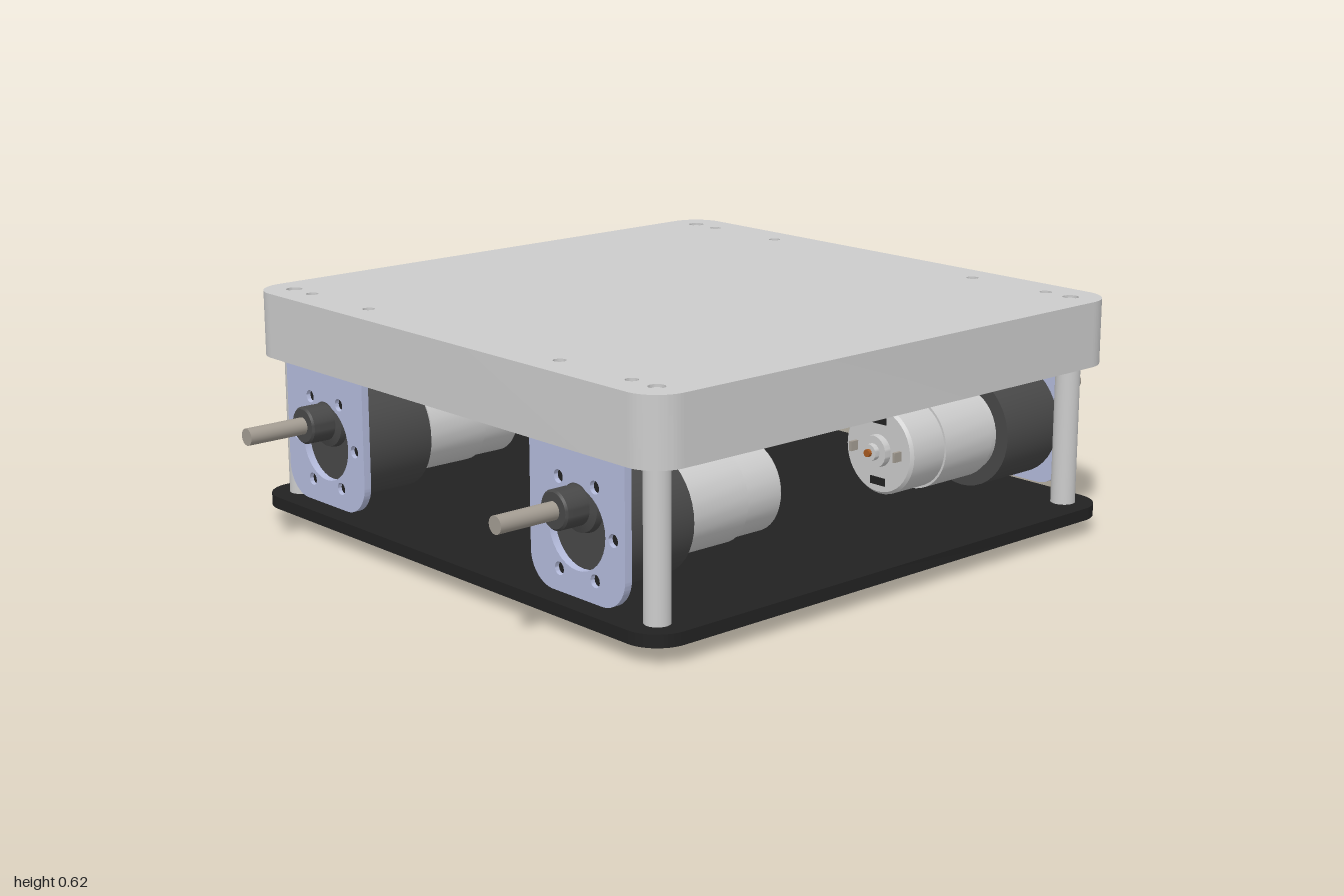
import * as THREE from 'three';
import { toCreasedNormals } from 'three/addons/utils/BufferGeometryUtils.js';

const mat = (color) => new THREE.MeshStandardMaterial({ color });
const M = {
  grey: mat(0xcccccc), light: mat(0xdddddd), black: mat(0x222222), dark: mat(0x484848),
  blue: mat(0xb4bbdc), steel: mat(0xa39c92), orange: mat(0xa85a20),
};

function add(parent, name, geo, material, x = 0, y = 0, z = 0) {
  const m = new THREE.Mesh(geo, material);
  m.name = name;
  m.position.set(x, y, z);
  parent.add(m);
  return m;
}

// Rectangle outline with separate lower and upper corner radii
function roundRect(x0, y0, x1, y1, rLow, rHigh = rLow) {
  const s = new THREE.Shape();
  s.moveTo(x0 + rLow, y0);
  s.lineTo(x1 - rLow, y0);
  if (rLow) s.absarc(x1 - rLow, y0 + rLow, rLow, -Math.PI / 2, 0);
  s.lineTo(x1, y1 - rHigh);
  if (rHigh) s.absarc(x1 - rHigh, y1 - rHigh, rHigh, 0, Math.PI / 2);
  s.lineTo(x0 + rHigh, y1);
  if (rHigh) s.absarc(x0 + rHigh, y1 - rHigh, rHigh, Math.PI / 2, Math.PI);
  s.lineTo(x0, y0 + rLow);
  if (rLow) s.absarc(x0 + rLow, y0 + rLow, rLow, Math.PI, Math.PI * 1.5);
  return s;
}

function hole(shape, x, y, r) {
  const p = new THREE.Path();
  p.absarc(x, y, r, 0, Math.PI * 2, true);
  shape.holes.push(p);
}

const extrude = (shape, depth) => toCreasedNormals(
  new THREE.ExtrudeGeometry(shape, { depth, bevelEnabled: false, curveSegments: 16 }), 0.5);
// Lying slab: thickness runs up
const slab = (shape, depth) => extrude(shape, depth).rotateX(-Math.PI / 2);
// Turned part along x from [position, radius] pairs
const turnedX = (pts, seg = 40) => toCreasedNormals(
  new THREE.LatheGeometry(pts.map(([a, r]) => new THREE.Vector2(r, a)), seg), 0.5).rotateZ(-Math.PI / 2);
const cyl = (r, h, seg = 24, r2 = r) => new THREE.CylinderGeometry(r2, r, h, seg);

// Gear motor with bracket, shaft pointing to +x
function motorUnit() {
  const g = new THREE.Group();
  const cy = 0.26, sy = 0.316;

  // L bracket: face plate and top flange
  const face = roundRect(-0.167, 0.095, 0.167, 0.45, 0.08, 0);
  hole(face, 0, cy, 0.1);
  for (let i = 0; i < 6; i++) {
    const a = i * Math.PI / 3;
    hole(face, Math.cos(a) * 0.127, cy + Math.sin(a) * 0.127, 0.016);
  }
  add(g, 'bracketFace', extrude(face, 0.02).rotateY(Math.PI / 2), M.blue, 0.747);
  const flange = roundRect(0.6, -0.167, 0.75, 0.167, 0.02, 0.02);
  for (const z of [-0.125, -0.06, 0, 0.06, 0.125]) hole(flange, 0.71, z, 0.014);
  for (const z of [-0.125, 0.125]) hole(flange, 0.645, z, 0.014);
  add(g, 'bracketFlange', slab(flange, 0.018), M.blue, 0, 0.432);

  // Gearbox and the mounting screw ends on its face
  add(g, 'gearbox', turnedX([[0.545, 0], [0.545, 0.152], [0.745, 0.152], [0.745, 0]]), M.dark, 0, cy);
  for (let i = 0; i < 6; i++) {
    const a = i * Math.PI / 3;
    add(g, 'bracketScrew', cyl(0.015, 0.012, 12).rotateZ(Math.PI / 2), M.black,
      0.75, cy + Math.sin(a) * 0.127, Math.cos(a) * 0.127);
  }

  // Offset output boss and shaft
  add(g, 'outputBoss', turnedX([[0.74, 0], [0.74, 0.07], [0.762, 0.066], [0.768, 0.048],
    [0.83, 0.048], [0.835, 0.043], [0.835, 0]]), M.dark, 0, sy);
  add(g, 'shaft', cyl(0.022, 0.2).rotateZ(Math.PI / 2), M.steel, 0.9, sy);

  // Motor can with its rolled steps
  add(g, 'motorCan', turnedX([[0.225, 0], [0.225, 0.108], [0.233, 0.115], [0.345, 0.115],
    [0.345, 0.121], [0.52, 0.121], [0.52, 0.113], [0.55, 0.113]]), M.grey, 0, cy);
  add(g, 'rearBearing', turnedX([[0.19, 0], [0.19, 0.022], [0.205, 0.022], [0.205, 0.042],
    [0.23, 0.042]]), M.light, 0, cy);
  add(g, 'rearShaftEnd', cyl(0.01, 0.012, 16).rotateZ(Math.PI / 2), M.orange, 0.187, cy);
  for (const s of [-1, 1]) {
    add(g, 'terminal', new THREE.BoxGeometry(0.03, 0.025, 0.008), M.steel, 0.215, cy, s * 0.075);
    add(g, 'rearVent', new THREE.BoxGeometry(0.006, 0.02, 0.05), M.black, 0.225, cy + s * 0.08);
  }
  return g;
}

// Steering servo with output horn below the base plate
function servo() {
  const g = new THREE.Group();
  add(g, 'servoCase', slab(roundRect(-0.08, -0.08, 0.08, 0.25, 0.012), 0.295), M.black, 0, 0.095);
  add(g, 'servoGearCover', slab(roundRect(-0.068, -0.08, 0.068, 0.215, 0.03), 0.025), M.black, 0, 0.075);

  // Mounting ears with holes and ribs
  for (const [z0, z1, s] of [[0.078, 0.14, 1], [-0.31, -0.248, -1]]) {
    const ear = roundRect(-0.075, -z1, 0.075, -z0, 0.008);
    for (const x of [-0.04, 0.04]) hole(ear, x, -(z0 + z1) / 2, 0.016);
    add(g, 'servoEar', slab(ear, 0.022), M.black, 0, 0.147);
    add(g, 'servoEarRib', new THREE.BoxGeometry(0.012, 0.012, 0.045), M.black, 0, 0.172, (z0 + z1) / 2 - s * 0.008);
  }
  for (const x of [-0.06, 0.06]) for (const z of [0.06, -0.23])
    add(g, 'servoScrew', cyl(0.012, 0.008, 16), M.steel, x, 0.39, z);

  // Cable and its strain relief
  add(g, 'strainRelief', cyl(0.019, 0.055, 16, 0.012).rotateX(Math.PI / 2), M.black, 0, 0.32, 0.105);
  for (const [x, m] of [[-0.012, M.black], [0, M.orange], [0.012, M.orange]])
    add(g, 'cable', cyl(0.006, 0.16, 10).rotateX(Math.PI / 2), m, x, 0.32, 0.165);

  // Output spline, hub and double-armed horn
  add(g, 'outputSpline', cyl(0.032, 0.07), M.black, 0, 0.055);
  add(g, 'hornHub', cyl(0.035, 0.016, 24, 0.052), M.black, 0, 0.033);
  const arm = new THREE.Shape();
  arm.absarc(0.137, 0, 0.018, -Math.PI / 2, Math.PI / 2);
  arm.lineTo(0.025, 0.045);
  arm.lineTo(-0.025, 0.045);
  arm.absarc(-0.137, 0, 0.018, Math.PI / 2, Math.PI * 1.5);
  arm.lineTo(-0.025, -0.045);
  arm.lineTo(0.025, -0.045);
  for (const s of [-1, 1]) for (const x of [0.075, 0.105, 0.135]) hole(arm, s * x, 0, 0.006);
  add(g, 'hornArm', slab(arm, 0.018), M.black, 0, 0.008);
  add(g, 'hornScrew', cyl(0.016, 0.01, 16), M.orange, 0, 0.005);
  return g;
}

export function createModel() {
  const root = new THREE.Group();
  const E = 0.79, P = 0.708;

  // Thick top plate with post and bracket holes
  const top = roundRect(-E, -E, E, E, 0.09);
  for (const x of [-P, P]) {
    for (const z of [-P, P]) hole(top, x, z, 0.021);
    for (const z of [-0.625, -0.375, 0.375, 0.625]) hole(top, x, z, 0.016);
  }
  add(root, 'topPlate', slab(top, 0.17), M.grey, 0, 0.45);

  // Thin base plate
  const base = roundRect(-E, -E, E, E, 0.09);
  hole(base, 0, 0, 0.06);
  add(root, 'basePlate', slab(base, 0.032), M.black, 0, 0.043);

  // Corner posts with threaded ends and nuts
  for (const x of [-P, P]) for (const z of [-P, P]) {
    add(root, 'post', cyl(0.032, 0.375, 32), M.light, x, 0.2625, z);
    add(root, 'postBolt', cyl(0.013, 0.595, 16), M.light, x, 0.3175, z);
    add(root, 'postNut', cyl(0.024, 0.014, 6), M.light, x, 0.036, z);
  }
  // Bracket bolts inside the top plate
  for (const x of [-P, P]) for (const z of [-0.625, -0.375, 0.375, 0.625])
    add(root, 'bracketBolt', cyl(0.016, 0.13, 12), M.black, x, 0.515, z);

  // Four gear motors, two on each side
  for (const z of [-0.5, 0.5]) for (const side of [0, 1]) {
    const unit = motorUnit();
    unit.name = side ? 'rightMotor' : 'leftMotor';
    unit.rotation.y = side * Math.PI;
    unit.position.z = z;
    root.add(unit);
  }

  const s = servo();
  s.name = 'servo';
  root.add(s);
  return root;
}
